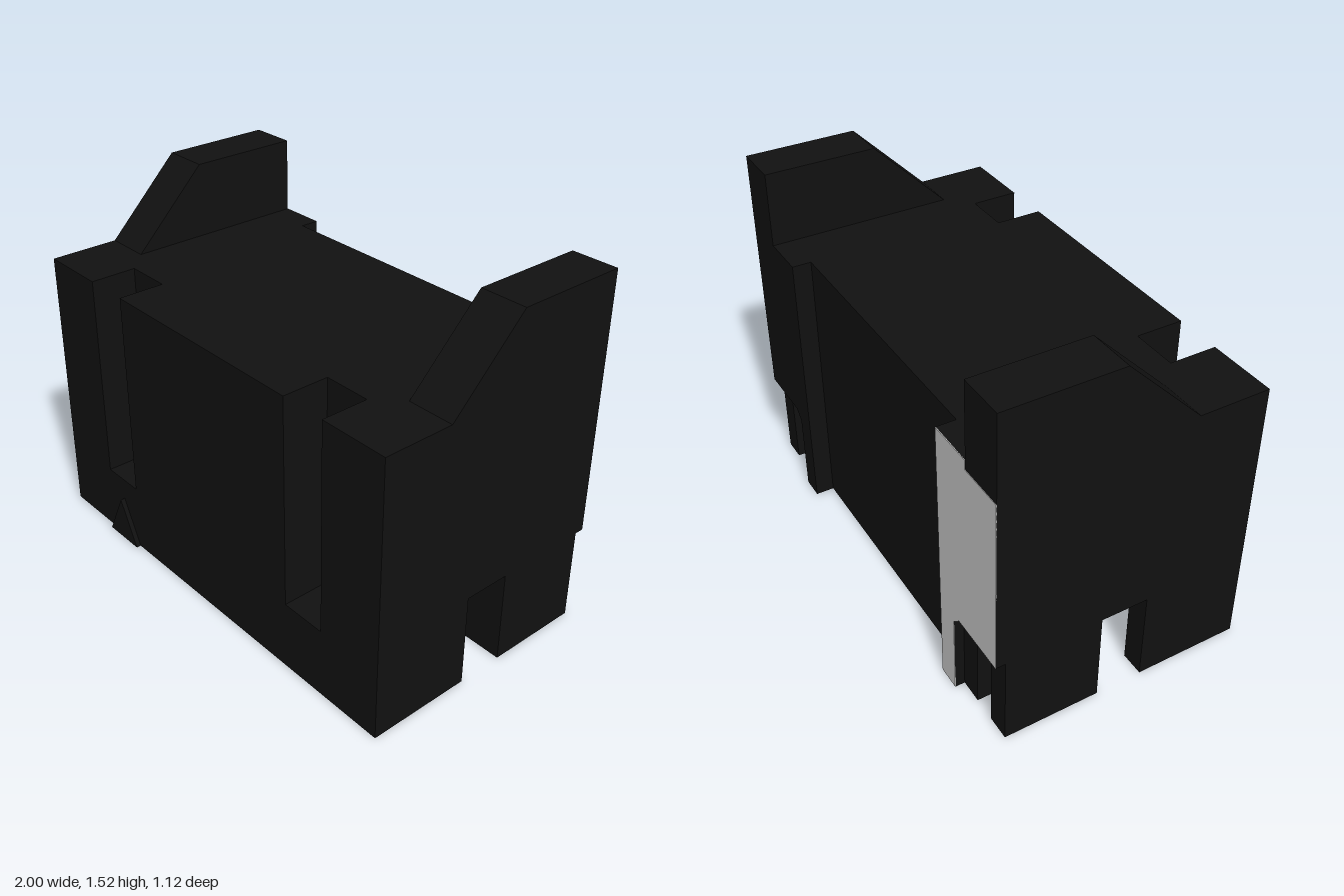
import * as THREE from 'three';

const dark = new THREE.MeshStandardMaterial({ color: 0x111111, flatShading: true });
const grey = new THREE.MeshStandardMaterial({ color: 0xcccccc, flatShading: true });

const shapeOf = pts => new THREE.Shape(pts.map(p => new THREE.Vector2(...p)));

export function createModel() {
  const model = new THREE.Group();

  const add = (name, geometry, material = dark) => {
    const mesh = new THREE.Mesh(geometry, material);
    mesh.name = name;
    model.add(mesh);
  };
  // Box given by its limits on each axis
  const box = (name, x0, x1, y0, y1, z0, z1) => add(name,
    new THREE.BoxGeometry(x1 - x0, y1 - y0, z1 - z0)
      .translate((x0 + x1) / 2, (y0 + y1) / 2, (z0 + z1) / 2));
  // The same box on both sides
  const pair = (name, x0, x1, ...rest) => {
    box(name + 'Left', x0, x1, ...rest);
    box(name + 'Right', -x1, -x0, ...rest);
  };
  // Front outline (x, y) extruded from z0 to z1
  const plate = (name, pts, z0, z1, material) => add(name,
    new THREE.ExtrudeGeometry(shapeOf(pts), { depth: z1 - z0, bevelEnabled: false })
      .translate(0, 0, z0), material);
  // Side outline (z, y) extruded from x0 to x1
  const slab = (name, pts, x0, x1) => add(name,
    new THREE.ExtrudeGeometry(shapeOf(pts), { depth: x1 - x0, bevelEnabled: false })
      .rotateY(-Math.PI / 2).translate(x1, 0, 0));

  // Side walls with raised sloping tops and a doorway notch
  const wall = [[0.54, 0], [0.54, 1.2], [0.24, 1.2], [-0.08, 1.52], [-0.56, 1.52], [-0.56, 0.4],
    [-0.52, 0.4], [-0.52, 0], [-0.11, 0], [-0.11, 0.4], [0.09, 0.4], [0.09, 0]];
  const tower = [[0.24, 1.2], [-0.08, 1.52], [-0.56, 1.52], [-0.56, 1.16], [-0.48, 1.16]];
  slab('sideWallLeft', wall, 0.9, 1);
  slab('sideWallRight', wall, -1, -0.9);
  slab('towerLeft', tower, 0.8, 0.9);
  slab('towerRight', tower, -0.9, -0.8);

  // Thick top deck and back wall
  box('topDeck', -0.9, 0.9, 0.9, 1.2, -0.48, 0.34);
  box('backWall', -0.7, 0.7, 0, 0.9, -0.48, -0.38);

  // Front wall with two tall slots and a shallow recess inside the middle
  pair('frontCorner', 0.7, 0.9, 0, 1.2, 0.34, 0.54);
  pair('slotSill', 0.5, 0.7, 0, 0.3, 0.34, 0.54);
  pair('frontPanel', 0.2, 0.5, 0, 1.2, 0.34, 0.54);
  box('frontCentre', -0.2, 0.2, 0, 1.2, 0.41, 0.54);
  box('frontCentreTop', -0.2, 0.2, 0.9, 1.2, 0.34, 0.41);

  // Rear corners: solid above, channelled legs below
  pair('cornerBlock', 0.7, 0.9, 0.4, 0.9, -0.48, -0.11);
  pair('innerLeg', 0.7, 0.8, 0, 0.4, -0.52, -0.11);
  pair('legBridge', 0.8, 0.9, 0, 0.4, -0.21, -0.11);

  // Raised plates on the rear corners, one faced in grey
  const rear = [[0.6, 0], [0.7, 0], [0.7, 0.36], [0.74, 0.4], [1, 0.4], [1, 1.16],
    [0.8, 1.16], [0.8, 1.2], [0.6, 1.2]];
  const mirrored = rear.map(([x, y]) => [-x, y]);
  plate('rearPlateLeft', rear, -0.56, -0.48);
  plate('rearPlateRight', mirrored, -0.56, -0.48);
  plate('rearFacing', mirrored, -0.562, -0.559, grey);

  // Small triangular marker at the foot of the front
  plate('frontMarker', [[-0.7, 0], [-0.5, 0], [-0.6, 0.2]], 0.54, 0.56);

  return model;
}
